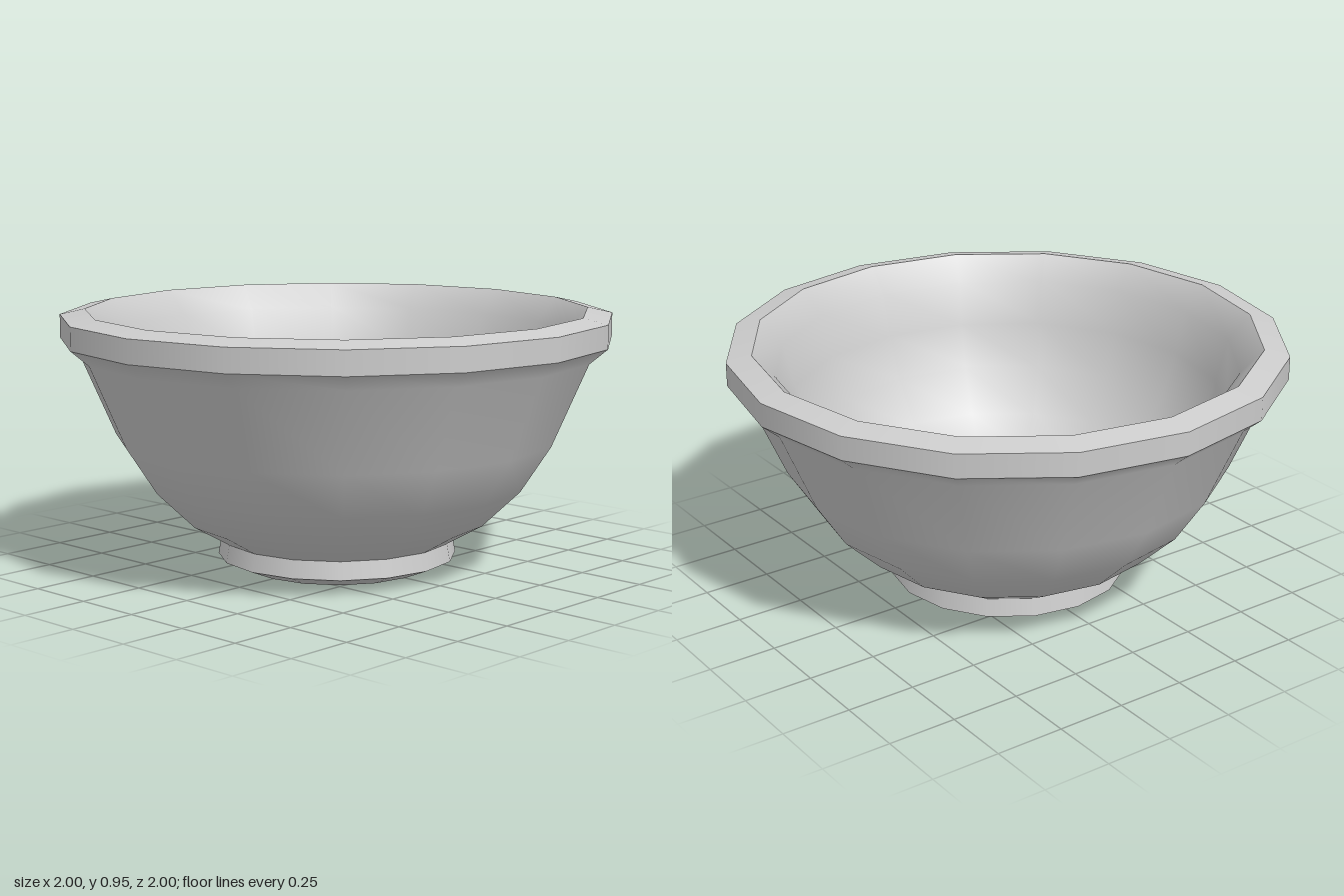
import * as THREE from 'three';

const SIDES = 16;

export function createModel() {
  const bowl = new THREE.Group();
  bowl.name = 'bowl';
  const clay = new THREE.MeshStandardMaterial({ color: 0xcccccc });
  clay.name = 'grey clay';

  // Each band is a smooth [radius, height] profile; creases fall between bands.
  const bands = {
    footRecessFloor: [[0, 0.03], [0.315, 0.03]],
    footRecessWall: [[0.315, 0.03], [0.335, 0.003]],
    footUnderside: [[0.335, 0.003], [0.437, 0.045]],
    footSide: [[0.437, 0.045], [0.425, 0.11]],
    outerWall: [[0.425, 0.11], [0.555, 0.185], [0.695, 0.32], [0.805, 0.49],
      [0.935, 0.79], [1, 0.845]],
    rimSide: [[1, 0.845], [1, 0.93]],
    rimTop: [[1, 0.93], [0.91, 0.95]],
    // The lip slopes in to a steep wall, then rounds into the floor.
    innerWall: [[0.91, 0.95], [0.83, 0.86], [0.79, 0.7], [0.73, 0.54],
      [0.63, 0.38], [0.5, 0.26], [0.34, 0.18], [0.16, 0.145], [0, 0.14]],
  };

  for (const [name, profile] of Object.entries(bands)) {
    const points = profile.map(([r, y]) => new THREE.Vector2(r, y));
    const band = new THREE.Mesh(new THREE.LatheGeometry(points, SIDES), clay);
    band.name = name;
    bowl.add(band);
  }
  return bowl;
}
